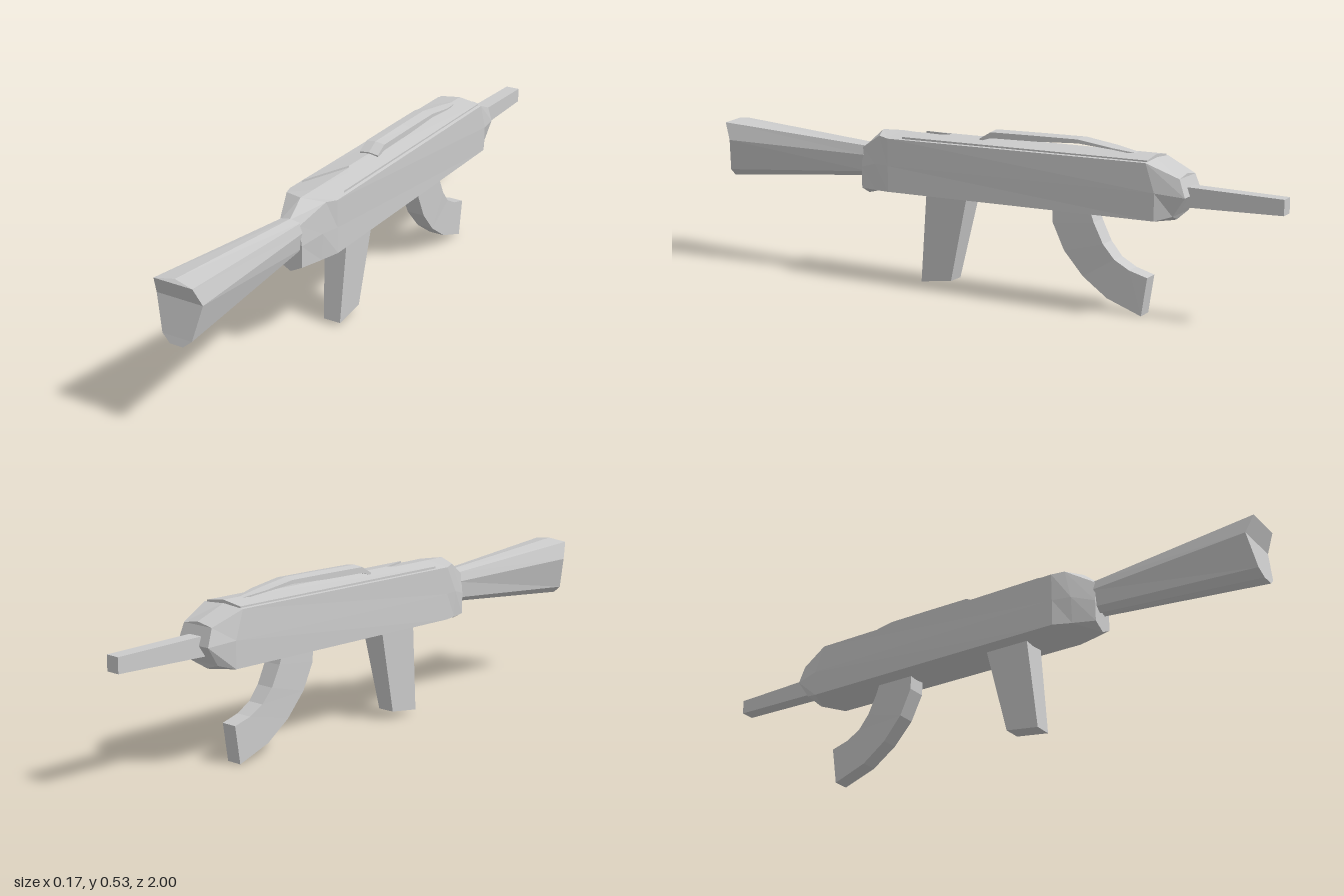
import * as THREE from 'three';

const material = new THREE.MeshStandardMaterial({ color: 0xcccccc, flatShading: true, side: THREE.DoubleSide });

// Skins a row of mirrored cross-sections. Each section lists only its +x half as [x, y, z].
function loft(name, sections, caps = true) {
  const rings = sections.map(half => {
    const right = half.map(p => new THREE.Vector3(...p));
    const left = right.map(p => new THREE.Vector3(-p.x, p.y, p.z)).reverse();
    return [...right, ...left];
  });
  const pos = [];
  const tri = (a, b, c) => {
    const area = b.clone().sub(a).cross(c.clone().sub(a)).length();
    if (area > 1e-7) for (const p of [a, b, c]) pos.push(p.x, p.y, p.z);
  };
  const quad = (a, b, c, d) => { tri(a, b, c); tri(a, c, d); };
  const n = rings[0].length;

  for (let s = 0; s < rings.length - 1; s++) {
    for (let i = 0; i < n; i++) {
      const j = (i + 1) % n;
      quad(rings[s][i], rings[s][j], rings[s + 1][j], rings[s + 1][i]);
    }
  }
  // End caps are strips joining each point to its mirror image
  if (caps) {
    const first = rings[0], last = rings[rings.length - 1];
    for (let i = 0; i < n / 2 - 1; i++) {
      quad(first[i], first[n - 1 - i], first[n - 2 - i], first[i + 1]);
      quad(last[i], last[i + 1], last[n - 2 - i], last[n - 1 - i]);
    }
  }
  const geometry = new THREE.BufferGeometry();
  geometry.setAttribute('position', new THREE.Float32BufferAttribute(pos, 3));
  geometry.computeVertexNormals();
  const mesh = new THREE.Mesh(geometry, material);
  mesh.name = name;
  return mesh;
}

// Four-sided section for parts that hang down: front edge, then back edge
const hanging = (w, yFront, zFront, yBack, zBack) => [[w, yFront, zFront], [w, yBack, zBack]];

// Four-sided section for parts that run along z
const slab = (w, z, top, edge, bottom) => [[0, top, z], [w, edge, z], [w, bottom, z], [0, bottom, z]];

export function createModel() {
  const model = new THREE.Group();

  // Receiver, tapered at both ends
  model.add(loft('receiver', [
    [[0, 0.455, 0.45], [0.035, 0.445, 0.45], [0.042, 0.38, 0.45], [0.042, 0.31, 0.45], [0, 0.288, 0.45]],
    [[0, 0.505, 0.39], [0.07, 0.495, 0.36], [0.07, 0.4, 0.38], [0.065, 0.312, 0.38], [0, 0.3, 0.4]],
    [[0, 0.504, 0.32], [0.085, 0.49, 0.32], [0.084, 0.4, 0.32], [0.085, 0.315, 0.32], [0, 0.306, 0.32]],
    [[0, 0.498, -0.58], [0.083, 0.488, -0.59], [0.085, 0.4, -0.62], [0.083, 0.315, -0.62], [0, 0.308, -0.65]],
    [[0, 0.455, -0.69], [0.06, 0.445, -0.69], [0.065, 0.39, -0.71], [0.06, 0.33, -0.67], [0, 0.312, -0.66]],
  ]));

  // Flared stock with a creased, hollow butt
  model.add(loft('stock', [
    [[0, 0.5, 0.99], [0.065, 0.491, 1], [0.078, 0.433, 0.975], [0.05, 0.325, 0.995], [0.022, 0.302, 1], [0, 0.313, 0.995]],
    [[0, 0.457, 0.43], [0.033, 0.45, 0.43], [0.04, 0.42, 0.43], [0.033, 0.365, 0.43], [0.015, 0.35, 0.43], [0, 0.355, 0.43]],
  ]));

  // Top cover, cut to a V at the rear
  model.add(loft('topCover', [
    [[0, 0.488, 0.12], [0.075, 0.485, 0.27], [0.075, 0.485, 0.27], [0, 0.488, 0.12]],
    [[0, 0.509, 0.12], [0.075, 0.498, 0.27], [0.075, 0.485, 0.27], [0, 0.488, 0.12]],
    slab(0.072, -0.59, 0.504, 0.494, 0.48),
    slab(0.072, -0.59, 0.48, 0.48, 0.48),
  ], false));

  // Raised rail over the cover
  model.add(loft('topRail', [
    slab(0.033, 0.005, 0.512, 0.508, 0.5),
    slab(0.033, -0.035, 0.535, 0.531, 0.512),
    slab(0.033, -0.2, 0.537, 0.532, 0.514),
    slab(0.033, -0.34, 0.537, 0.532, 0.52),
    slab(0.03, -0.45, 0.519, 0.515, 0.51),
    slab(0.012, -0.53, 0.504, 0.502, 0.497),
  ]));

  // Barrel
  model.add(loft('barrel', [
    [[0.026, 0.418, -0.66], [0.026, 0.355, -0.66]],
    [[0.024, 0.408, -1], [0.024, 0.36, -1]],
  ]));

  // Pistol grip
  model.add(loft('grip', [
    hanging(0.042, 0.33, 0.045, 0.33, 0.198),
    hanging(0.03, 0.03, 0.115, 0.015, 0.228),
  ]));

  // Curved magazine
  model.add(loft('magazine', [
    hanging(0.032, 0.33, -0.38, 0.33, -0.255),
    hanging(0.032, 0.28, -0.398, 0.265, -0.257),
    hanging(0.031, 0.215, -0.43, 0.18, -0.297),
    hanging(0.029, 0.17, -0.468, 0.105, -0.362),
    hanging(0.028, 0.142, -0.518, 0.045, -0.445),
    hanging(0.027, 0.125, -0.578, 0.003, -0.56),
  ]));

  return model;
}
